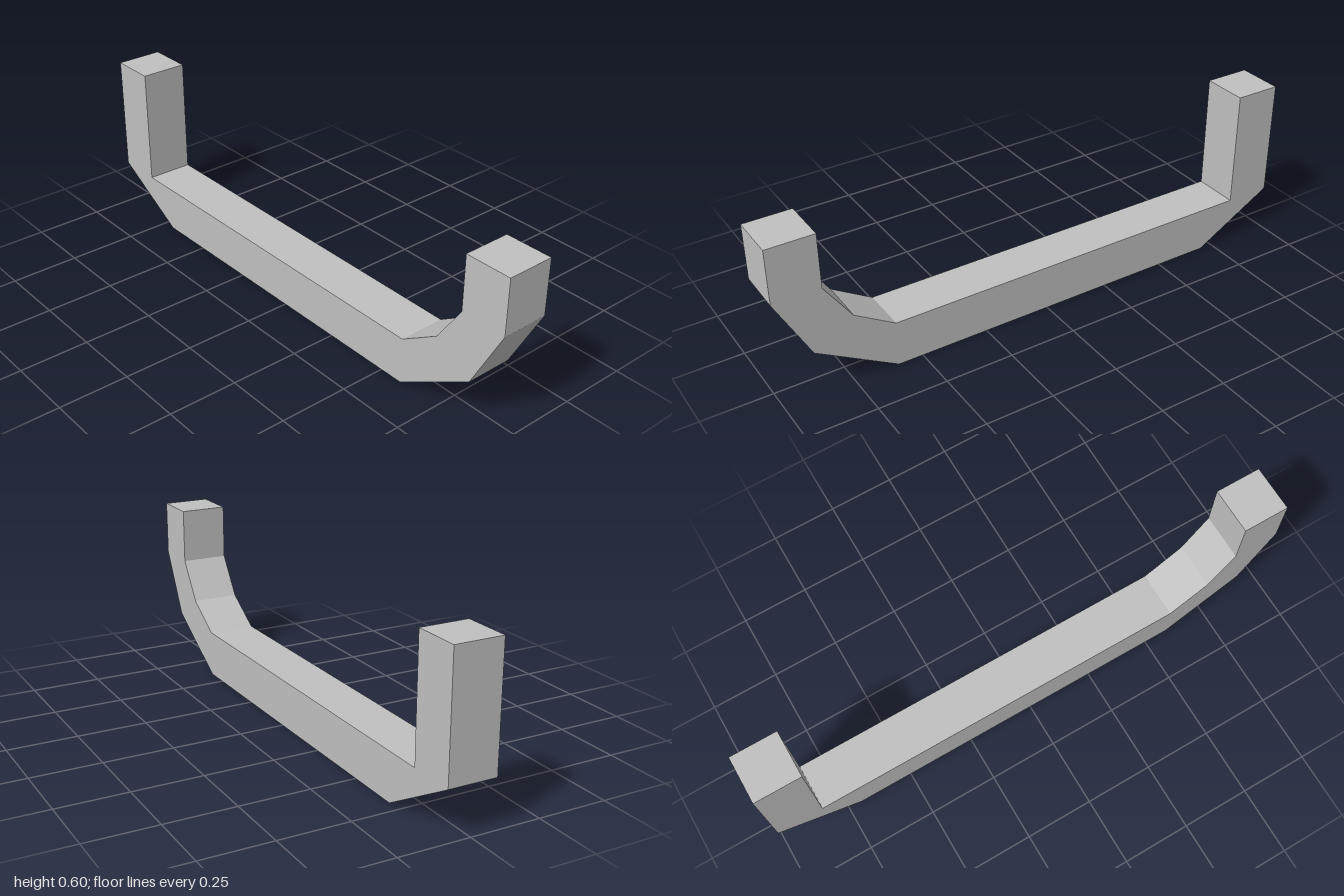
import * as THREE from 'three';

export function createModel() {
  const group = new THREE.Group();
  group.name = 'bracket';

  const greyMetal = new THREE.MeshStandardMaterial({ color: 0xc0c0c0 });
  greyMetal.name = 'grey metal';

  // Side outline as [z, y]: rear post, underside, bent front arm, upper side
  const outline = [
    [-1, 0.6], [-1, 0.17], [-0.7, 0], [0.59, 0],
    [0.88, 0.17], [1, 0.4], [1, 0.6], [0.83, 0.6],
    [0.83, 0.4], [0.735, 0.26], [0.59, 0.17], [-0.83, 0.17], [-0.83, 0.6],
  ];
  const shape = new THREE.Shape(outline.map(([z, y]) => new THREE.Vector2(z, y)));

  // Extrude across the width, then turn so the outline runs along z
  const width = 0.172;
  const geometry = new THREE.ExtrudeGeometry(shape, { depth: width, bevelEnabled: false });
  geometry.translate(0, 0, -width / 2);
  geometry.rotateY(-Math.PI / 2);

  const bar = new THREE.Mesh(geometry, greyMetal);
  bar.name = 'bentBar';
  group.add(bar);
  return group;
}
